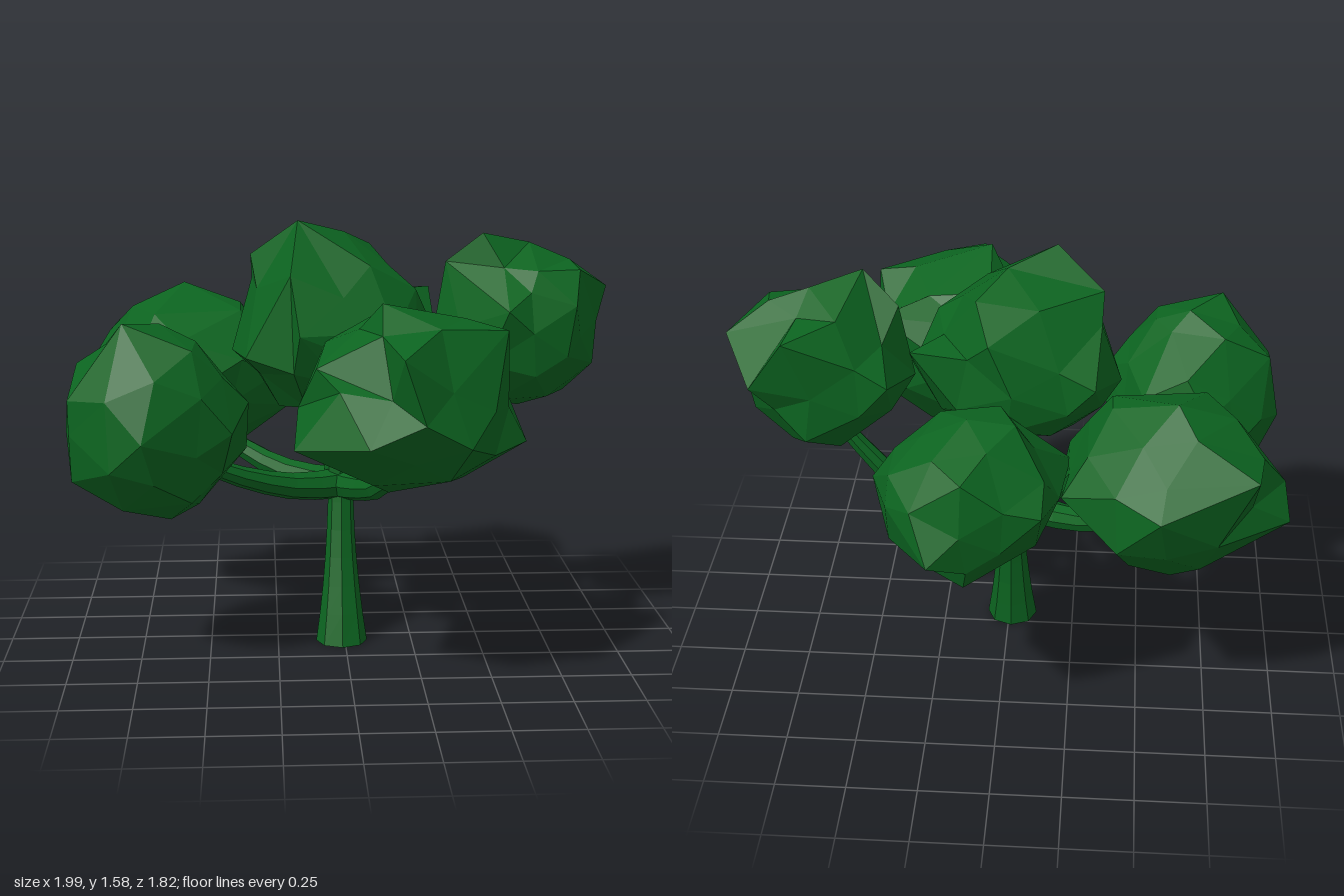
import * as THREE from 'three';
import { mergeVertices } from 'three/addons/utils/BufferGeometryUtils.js';

const green = new THREE.MeshStandardMaterial({ color: 0x0c6420, flatShading: true });
green.name = 'leaf green';

function seeded(seed) {
  let s = seed;
  return () => (s = (s * 16807) % 2147483647) / 2147483647;
}

// Faceted clump: a jittered ellipsoid whose nearest corners are moved to the given points
function foliage(name, center, radii, peaks, seed) {
  const rand = seeded(seed);
  for (let i = 0; i < 5; i++) rand();
  let geo = new THREE.IcosahedronGeometry(1, 1);
  geo.deleteAttribute('normal');
  geo.deleteAttribute('uv');
  geo = mergeVertices(geo, 1e-3);
  const pos = geo.attributes.position;
  const c = new THREE.Vector3(...center), r = new THREE.Vector3(...radii);
  const dirs = [];
  const v = new THREE.Vector3();
  for (let i = 0; i < pos.count; i++) {
    v.fromBufferAttribute(pos, i);
    dirs.push(v.clone());
    v.x += (rand() - 0.5) * 0.16;
    v.y += (rand() - 0.5) * 0.16;
    v.z += (rand() - 0.5) * 0.16;
    v.multiplyScalar(0.92 + rand() * 0.11).multiply(r).add(c);
    pos.setXYZ(i, v.x, v.y, v.z);
  }
  const used = new Set();
  for (const p of peaks) {
    const d = new THREE.Vector3(...p).sub(c).divide(r).normalize();
    let best = -1, bestDot = -2;
    dirs.forEach((q, i) => {
      if (!used.has(i) && q.dot(d) > bestDot) { bestDot = q.dot(d); best = i; }
    });
    used.add(best);
    pos.setXYZ(best, ...p);
  }
  geo = geo.toNonIndexed();
  geo.computeVertexNormals();
  const mesh = new THREE.Mesh(geo, green);
  mesh.name = name;
  return mesh;
}

// Tapered tube along a smooth path
function limb(name, points, r0, r1, power = 1, flatBase = false) {
  const curve = new THREE.CatmullRomCurve3(points.map(p => new THREE.Vector3(...p)));
  const seg = 6, sides = 8;
  const geo = new THREE.TubeGeometry(curve, seg, 1, sides);
  const pos = geo.attributes.position, v = new THREE.Vector3();
  for (let i = 0; i < pos.count; i++) {
    const t = Math.floor(i / (sides + 1)) / seg;
    const p = curve.getPointAt(t);
    const r = r1 + (r0 - r1) * Math.pow(1 - t, power);
    v.fromBufferAttribute(pos, i).sub(p).multiplyScalar(r).add(p);
    pos.setXYZ(i, v.x, flatBase && t === 0 ? 0 : v.y, v.z);
  }
  geo.computeVertexNormals();
  const mesh = new THREE.Mesh(geo, green);
  mesh.name = name;
  return mesh;
}

export function createModel() {
  const tree = new THREE.Group();
  tree.name = 'tree';

  // Trunk, leaning back, with a closed underside
  tree.add(limb('trunk', [[-0.012, 0, 0.068], [-0.012, 0.2, 0.035], [-0.012, 0.4, 0], [-0.01, 0.62, -0.03]],
    0.095, 0.047, 2, true));
  const base = new THREE.Mesh(new THREE.CircleGeometry(0.092, 8), green);
  base.name = 'trunkBase';
  base.rotation.x = Math.PI / 2;
  base.position.set(-0.012, 0.001, 0.068);
  tree.add(base);

  // Branches sweeping out and up from the fork
  const fork = [-0.01, 0.585, -0.03];
  const branches = [
    ['leftBranch', [0.18, 0.6, -0.04], [0.42, 0.68, -0.04], [0.62, 0.92, -0.05]],
    ['frontBranch', [0.05, 0.595, 0.08], [0.13, 0.64, 0.23], [0.2, 0.78, 0.36]],
    ['rightFrontBranch', [-0.17, 0.595, 0.06], [-0.35, 0.65, 0.16], [-0.56, 0.75, 0.27]],
    ['rightBackBranch', [-0.17, 0.595, -0.13], [-0.34, 0.65, -0.25], [-0.55, 0.78, -0.38]],
    ['backBranch', [-0.02, 0.6, -0.17], [-0.01, 0.65, -0.35], [0.03, 0.76, -0.52]],
    ['topBranch', [-0.02, 0.68, -0.03], [-0.03, 0.8, -0.03], [-0.03, 0.98, 0]],
  ];
  for (const [name, ...path] of branches) tree.add(limb(name, [fork, ...path], 0.06, 0.028));

  // Foliage clumps
  tree.add(
    foliage('topFoliage', [-0.03, 1.18, 0], [0.36, 0.32, 0.32], [
      [-0.17, 1.58, 0.1], [-0.34, 1.45, 0], [0.0, 1.53, 0], [0.33, 1.3, -0.22], [0.16, 1.41, 0.02],
      [-0.41, 1.1, 0], [-0.17, 1.2, 0.36], [0.17, 1.2, 0.27], [0.05, 1.37, -0.3], [-0.32, 1.2, -0.28],
      [0.34, 1.15, -0.02], [-0.2, 1.4, 0.26], [-0.03, 0.89, 0], [-0.36, 1.1, 0.2],
    ], 11),
    foliage('frontFoliage', [0.2, 1.0, 0.51], [0.37, 0.32, 0.35], [
      [0.04, 0.92, 0.91], [0.15, 1.21, 0.9], [0.1, 1.35, 0.59], [0.53, 1.25, 0.55], [0.61, 0.85, 0.47],
      [-0.2, 0.88, 0.72], [0.13, 0.68, 0.5], [0.38, 0.9, 0.82], [0.57, 0.99, 0.18], [-0.08, 1.18, 0.33],
      [0.12, 1.06, 0.8], [0.5, 1.2, 0.24], [-0.11, 0.95, 0.3], [0.32, 1.08, 0.78], [-0.05, 1.08, 0.75],
    ], 23),
    foliage('leftFoliage', [0.67, 1.17, -0.08], [0.3, 0.3, 0.27], [
      [0.51, 1.52, -0.02], [0.73, 1.39, -0.16], [0.38, 1.41, -0.08], [0.99, 1.31, -0.13], [0.86, 1.39, 0.04],
      [0.58, 1.26, 0.21], [0.75, 1.39, -0.37], [0.88, 1.2, -0.34], [0.6, 0.87, -0.15], [0.93, 1.03, -0.05],
      [0.4, 1.2, -0.31], [0.86, 1.15, 0.08], [0.33, 1.13, -0.06], [0.7, 1.39, 0.08], [0.58, 1.42, -0.24],
    ], 37),
    foliage('rightFrontFoliage', [-0.67, 0.9, 0.3], [0.33, 0.35, 0.31], [
      [-0.78, 1.26, 0.41], [-0.63, 0.54, 0.3], [-1, 0.85, 0.22], [-0.9, 0.63, 0.19], [-0.71, 0.88, 0.62],
      [-0.35, 0.97, 0.34], [-0.36, 0.78, 0.22], [-0.73, 0.95, -0.01], [-0.97, 1.0, 0.44],
      [-0.59, 1.18, 0.23],
    ], 41),
    foliage('rightBackFoliage', [-0.58, 0.95, -0.42], [0.37, 0.32, 0.36], [
      [-0.6, 1.285, -0.5], [-1, 0.84, -0.5], [-0.87, 1.11, -0.7], [-0.55, 1.0, -0.8], [-0.22, 1.02, -0.68],
      [-0.2, 0.83, -0.3], [-0.6, 0.92, 0.02], [-0.6, 0.6, -0.5], [-0.85, 0.95, -0.22], [-0.38, 1.2, -0.3],
      [-0.91, 0.73, -0.33],
    ], 59),
    foliage('backFoliage', [0.11, 0.96, -0.59], [0.32, 0.29, 0.3], [
      [0.21, 0.87, -0.91], [0.1, 1.15, -0.84], [-0.16, 1.0, -0.79], [-0.24, 0.95, -0.31], [0.34, 1.0, -0.36],
      [0.43, 0.98, -0.52], [0.1, 0.72, -0.79], [0.08, 0.66, -0.55], [0.1, 1.25, -0.58], [0.36, 1.0, -0.74],
      [0.0, 1.12, -0.3],
    ], 73),
  );
  return tree;
}
